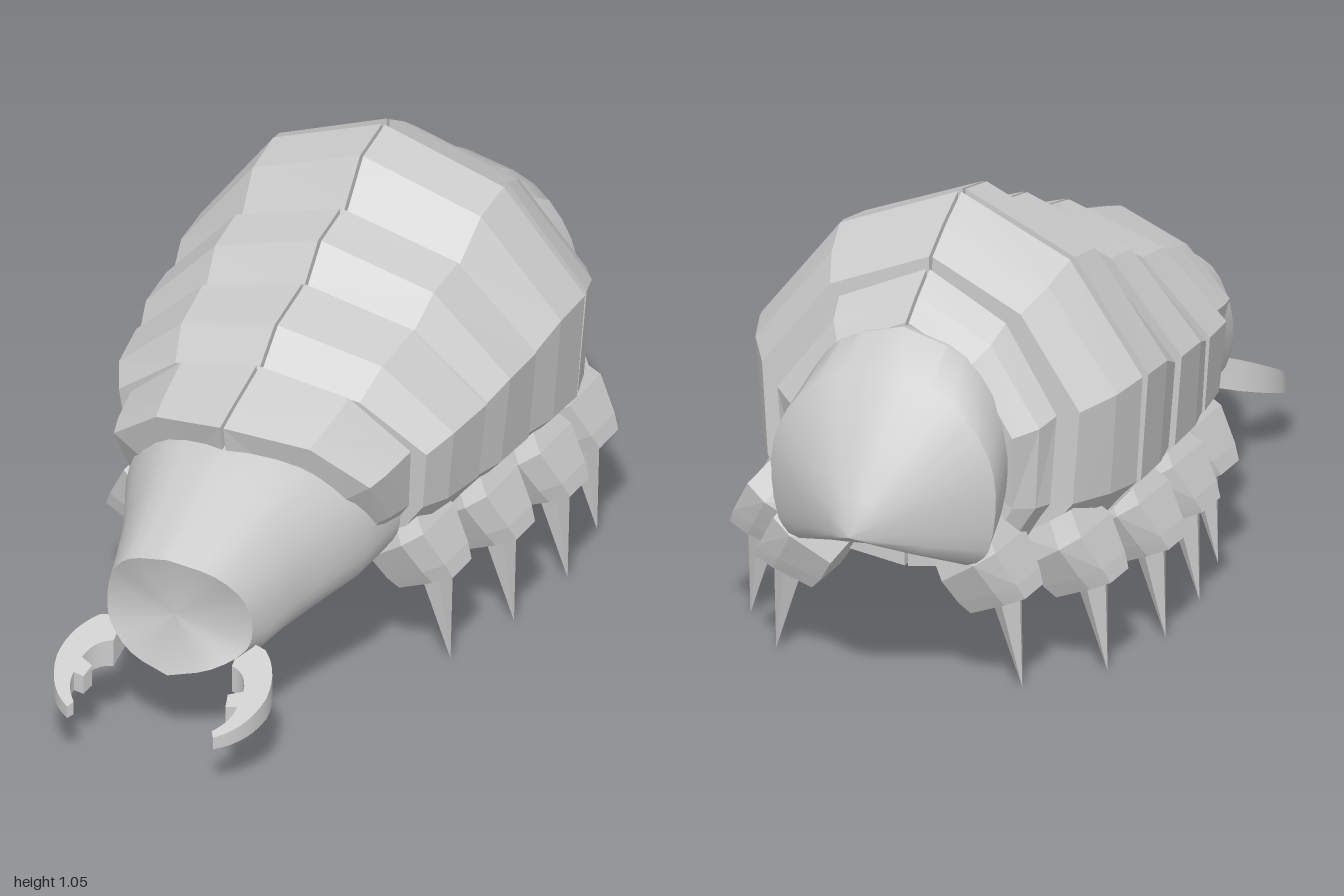
import * as THREE from 'three';
import { toCreasedNormals } from 'three/addons/utils/BufferGeometryUtils.js';

const material = new THREE.MeshStandardMaterial({ color: 0xcccccc });
const V = (x, y, z) => new THREE.Vector3(x, y, z);

// Closed solid from equal-length rings of points, capped at both ends, always facing outward
function loft(rings, crease = 0.1) {
  const tris = [];
  const n = rings[0].length;
  const add = (a, b, c) => {
    const area = b.clone().sub(a).cross(c.clone().sub(a)).length();
    if (area > 1e-9) tris.push([a, b, c]);
  };
  for (let r = 0; r < rings.length - 1; r++) {
    for (let i = 0; i < n; i++) {
      const j = (i + 1) % n;
      const [a, b, c, d] = [rings[r][i], rings[r][j], rings[r + 1][j], rings[r + 1][i]];
      add(a, b, c);
      add(a, c, d);
    }
  }
  const first = rings[0], last = rings[rings.length - 1];
  for (const ring of [first, last]) {
    const mid = ring.reduce((s, p) => s.add(p), V(0, 0, 0)).divideScalar(n);
    for (let i = 0; i < n; i++) {
      const p = ring[i], q = ring[(i + 1) % n];
      ring === first ? add(mid, q, p) : add(mid, p, q);
    }
  }
  const volume = tris.reduce((s, [a, b, c]) => s + a.dot(b.clone().cross(c)), 0);
  const points = tris.flatMap(([a, b, c]) => (volume < 0 ? [a, c, b] : [a, b, c]));
  return toCreasedNormals(new THREE.BufferGeometry().setFromPoints(points), crease);
}

function addMesh(parent, name, geometry) {
  const mesh = new THREE.Mesh(geometry, material);
  mesh.name = name;
  parent.add(mesh);
  return mesh;
}

// Half of an armour hoop: ridge, shoulder, flank, hem and belly; the flanks sweep back
function plateRing(side, z, top, w, sweep) {
  const flank = 0.38 * top + 0.29;
  const s = 0.45 * sweep + 0.03;
  return [
    [0.004, top, 0],
    [0.6 * w, top - 0.31 * (top - flank), 0.55 * s],
    [w, flank, s],
    [0.96 * w, 0.425, sweep],
    [0.89 * w, 0.39, sweep],
    [0.68 * w, 0.27, sweep],
    [0.004, 0.24, 0.5 * sweep],
  ].map(([x, y, back]) => V(side * x, y, z - back));
}

// Half-profiles from bottom centre to top centre, as fractions of half width and height
const headProfile = [[0, 0], [0.55, 0.09], [0.94, 0.25], [1, 0.42], [0.92, 0.66], [0.6, 0.89], [0, 1]];
const tailProfile = [[0, 0.02], [0.5, 0], [0.86, 0], [1, 0.3], [0.94, 0.6], [0.6, 0.88], [0, 1]];

// Symmetric section across the body; the sides may be bowed back
function bodyRing(profile, z, w, top, bottom, bow = 0) {
  const half = profile.map(([x, t]) => V(x * w, bottom + t * (top - bottom), z - bow * x * x));
  const right = new THREE.CatmullRomCurve3(half).getPoints(18);
  const left = right.slice(1, -1).reverse().map((p) => V(-p.x, p.y, p.z));
  return [...right, ...left];
}

// Leg section between an outer and an inner point
function legRing(side, z, outer, inner, half) {
  const at = (t, dz) => V(
    side * (outer[0] + (inner[0] - outer[0]) * t),
    outer[1] + (inner[1] - outer[1]) * t, z + dz);
  return [at(0, half * 0.85), at(0.35, half), at(1, half * 0.75),
    at(1, -half * 0.75), at(0.35, -half), at(0, -half * 0.85)];
}

function createLeg(side, z, o) {
  const leg = new THREE.Group();
  leg.name = side > 0 ? 'leftLeg' : 'rightLeg';
  addMesh(leg, 'legBase', loft([
    legRing(side, z, [o - 0.1, 0.41], [o - 0.24, 0.32], 0.06),
    legRing(side, z, [o - 0.06, 0.36], [o - 0.2, 0.265], 0.1),
    legRing(side, z, [o - 0.015, 0.28], [o - 0.165, 0.21], 0.075),
    legRing(side, z, [o, 0.245], [o - 0.14, 0.185], 0.06),
  ]));
  const spike = new THREE.ConeGeometry(0.042, 0.235, 5).toNonIndexed();
  spike.rotateX(Math.PI);
  const p = spike.attributes.position;
  for (let i = 0; i < p.count; i++) {
    const t = 0.5 - p.getY(i) / 0.235;
    p.setXYZ(i, p.getX(i) + side * (o - 0.07 + 0.04 * t), p.getY(i) + 0.1175 + 0.003, p.getZ(i) + z);
  }
  spike.computeVertexNormals();
  addMesh(leg, 'claw', spike);
  return leg;
}

// Hooked, toothed jaw drawn in plan, thinned and lowered toward its tip
function createMandible(side) {
  const shape = new THREE.Shape();
  shape.moveTo(0.15, 0.75);
  shape.lineTo(0.21, 0.765);
  shape.quadraticCurveTo(0.265, 0.81, 0.265, 0.88);
  shape.quadraticCurveTo(0.255, 0.96, 0.185, 1.0);
  shape.lineTo(0.175, 0.985);
  shape.quadraticCurveTo(0.21, 0.95, 0.207, 0.915);
  shape.lineTo(0.18, 0.92);
  shape.lineTo(0.172, 0.89);
  shape.lineTo(0.205, 0.875);
  shape.quadraticCurveTo(0.195, 0.83, 0.15, 0.82);
  const geometry = new THREE.ExtrudeGeometry(shape, { depth: 1, bevelEnabled: false, curveSegments: 7 });
  const p = geometry.attributes.position;
  for (let i = 0; i < p.count; i++) {
    const z = p.getY(i);
    const t = (z - 0.75) / 0.25;
    const y = 0.23 - 0.105 * t + (p.getZ(i) - 0.5) * (0.08 - 0.05 * t);
    p.setXYZ(i, p.getX(i) * side, y, z);
  }
  // Plan-to-space mapping reverses the winding on the left side
  if (side > 0) {
    for (let i = 0; i < p.count; i += 3) {
      const a = V().fromBufferAttribute(p, i), b = V().fromBufferAttribute(p, i + 1);
      p.setXYZ(i, b.x, b.y, b.z);
      p.setXYZ(i + 1, a.x, a.y, a.z);
    }
  }
  return toCreasedNormals(geometry, 0.6);
}

export function createModel() {
  const model = new THREE.Group();
  model.name = 'armouredGrub';

  // Head and neck: [z, half width, top, bottom, bow]
  const head = [
    [0.26, 0.32, 0.66, 0.215], [0.42, 0.305, 0.65, 0.195], [0.52, 0.262, 0.635, 0.175],
    [0.62, 0.225, 0.595, 0.165], [0.74, 0.2, 0.54, 0.16, 0.02], [0.85, 0.184, 0.49, 0.19, 0.07],
  ];
  addMesh(model, 'head', loft(head.map((r) => bodyRing(headProfile, ...r)), 0.7));

  // Armour hoops: [z, ridge height, half width, sweep] for each section
  const plates = [
    [[0.55, 0.69, 0.325, 0.18], [0.48, 0.715, 0.34, 0.15], [0.35, 0.756, 0.355, 0.09]],
    [[0.335, 0.74, 0.39, 0.08], [0.25, 0.815, 0.425, 0.06], [0.1, 0.85, 0.445, 0.035]],
    [[0.085, 0.84, 0.44, 0.025], [0.01, 0.92, 0.462, 0.035], [-0.11, 0.945, 0.47, 0.05]],
    [[-0.125, 0.92, 0.46, 0.05], [-0.22, 1.03, 0.482, 0.05], [-0.34, 1.055, 0.487, 0.05]],
    [[-0.365, 1.057, 0.482, 0.04], [-0.45, 1.01, 0.455, 0.045], [-0.53, 0.955, 0.4, 0.06]],
    [[-0.545, 0.93, 0.35, 0.065], [-0.61, 0.885, 0.33, 0.04], [-0.665, 0.84, 0.28, 0.01]],
  ];
  plates.forEach((rings, i) => {
    for (const side of [1, -1]) {
      const name = `${side > 0 ? 'left' : 'right'}Plate${i + 1}`;
      addMesh(model, name, loft(rings.map((r) => plateRing(side, ...r))));
    }
  });

  // Pointed tail shell with a flat underside: [z, half width, top, rim height]
  const tail = [
    [-0.65, 0.25, 0.83, 0.39], [-0.685, 0.262, 0.838, 0.38], [-0.8, 0.282, 0.77, 0.33],
    [-0.9, 0.16, 0.63, 0.375], [-0.96, 0.066, 0.515, 0.405], [-1, 0.002, 0.432, 0.428],
  ];
  addMesh(model, 'tail', loft(tail.map((r) => bodyRing(tailProfile, ...r)), 0.7));

  // Legs and jaws, mirrored
  const legs = [[0.18, 0.44], [-0.05, 0.495], [-0.295, 0.518], [-0.54, 0.48], [-0.71, 0.34]];
  for (const side of [1, -1]) {
    for (const [z, outer] of legs) model.add(createLeg(side, z, outer));
    addMesh(model, side > 0 ? 'leftMandible' : 'rightMandible', createMandible(side));
  }
  return model;
}
